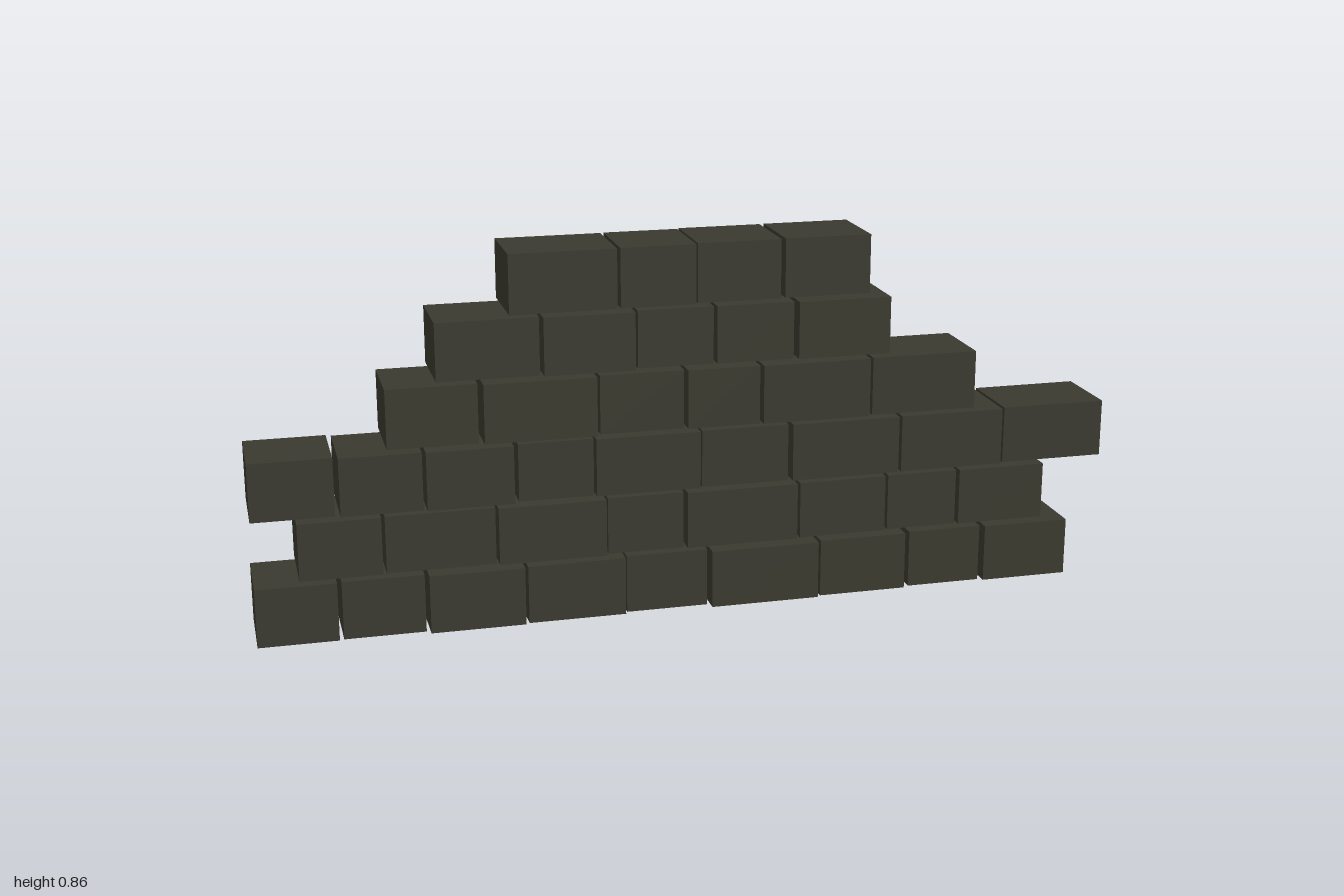
import * as THREE from 'three';

// Each course: bottom, top, then bricks as [left, right, depth offset]
const COURSES = [
  { y0: 0, y1: 0.136, bricks: [
    [-1, -0.82, -0.002], [-0.81, -0.626, -0.006], [-0.617, -0.401, 0.008], [-0.393, -0.168, 0.002],
    [-0.163, 0.027, -0.009], [0.035, 0.291, 0.011], [0.299, 0.508, 0.003], [0.521, 0.698, -0.005], [0.709, 0.917, 0.003]] },
  { y0: 0.147, y1: 0.28, bricks: [
    [-0.901, -0.717, -0.002], [-0.709, -0.463, -0.007], [-0.457, -0.211, 0.003], [-0.206, -0.029, -0.008],
    [-0.021, 0.241, 0.001], [0.249, 0.457, -0.004], [0.465, 0.634, -0.008], [0.642, 0.853, -0.004]] },
  { y0: 0.291, y1: 0.425, bricks: [
    [-1, -0.816, -0.004], [-0.805, -0.623, 0.004], [-0.615, -0.42, 0.009], [-0.409, -0.238, -0.004],
    [-0.233, 0.008, 0.004], [0.013, 0.217, -0.002], [0.227, 0.484, 0.005], [0.492, 0.741, 0.002], [0.749, 0.998, -0.006]] },
  { y0: 0.434, y1: 0.57, bricks: [
    [-0.698, -0.495, -0.004], [-0.484, -0.23, 0.009], [-0.222, -0.029, -0.003], [-0.021, 0.147, 0.003],
    [0.155, 0.409, 0.008], [0.417, 0.668, 0.002]] },
  { y0: 0.58, y1: 0.712, bricks: [
    [-0.586, -0.356, -0.002], [-0.348, -0.142, 0.008], [-0.134, 0.04, -0.006], [0.048, 0.227, -0.003],
    [0.238, 0.455, 0.004]] },
  { y0: 0.722, y1: 0.857, bricks: [
    [-0.423, -0.182, 0.007], [-0.174, -0.003, 0.004], [0.003, 0.195, -0.003], [0.206, 0.406, -0.005]] },
];
const DEPTH = 0.177;

export function createModel() {
  const wall = new THREE.Group();
  wall.name = 'brickWall';
  const stone = new THREE.MeshStandardMaterial({ color: 0x3a392f });
  stone.name = 'dark stone';
  const unit = new THREE.BoxGeometry(1, 1, 1);

  // Stacked courses of separate bricks with narrow open joints
  COURSES.forEach(({ y0, y1, bricks }, row) => {
    const course = new THREE.Group();
    course.name = `course${row + 1}`;
    bricks.forEach(([x0, x1, z], i) => {
      const brick = new THREE.Mesh(unit, stone);
      brick.name = `brick${i + 1}`;
      brick.scale.set(x1 - x0, y1 - y0, DEPTH);
      brick.position.set((x0 + x1) / 2, (y0 + y1) / 2, z);
      course.add(brick);
    });
    wall.add(course);
  });
  return wall;
}
